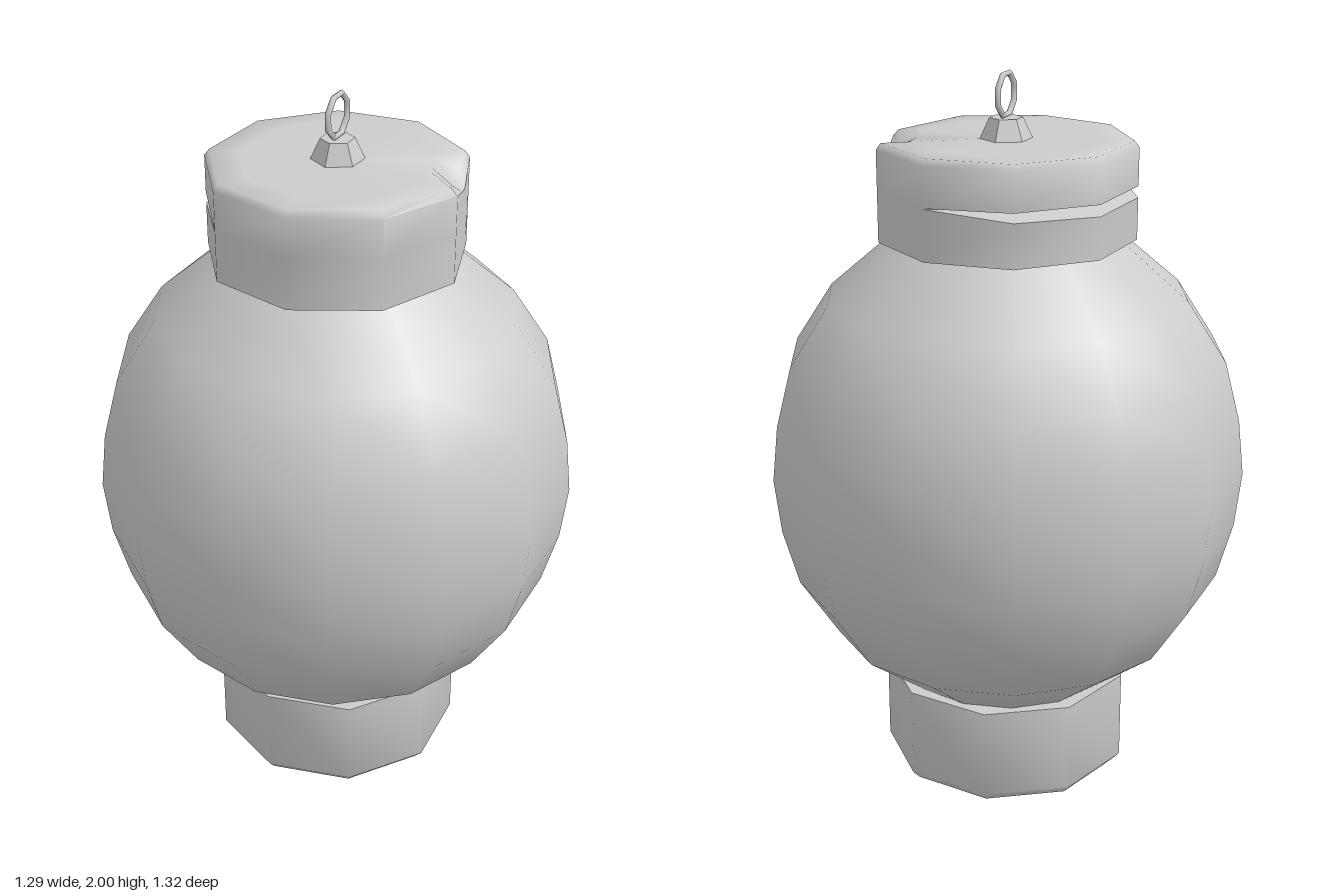
import * as THREE from 'three';
import { toCreasedNormals } from 'three/addons/utils/BufferGeometryUtils.js';

const material = new THREE.MeshStandardMaterial({ color: 0xcccccc });
const rad = THREE.MathUtils.degToRad;

function add(group, name, geometry) {
  const mesh = new THREE.Mesh(geometry, material);
  mesh.name = name;
  group.add(mesh);
  return mesh;
}

function lathe(profile, sides, phase = 0) {
  const points = profile.map(([r, y]) => new THREE.Vector2(r, y));
  return new THREE.LatheGeometry(points, sides, rad(phase));
}

// Skins equal-length rings from bottom to top and closes both ends.
function loft(rings) {
  const n = rings[0].length;
  const centre = (ring) => new THREE.Vector3(0, Math.max(...ring.map((p) => p.y)), 0);
  const last = rings[rings.length - 1];
  const points = [...rings.flat(), centre(rings[0]), centre(last)];
  const index = [];
  const end = rings.length * n;
  for (let i = 0; i < n; i++) {
    const j = (i + 1) % n;
    for (let k = 0; k < rings.length - 1; k++) {
      const a = k * n + i, b = k * n + j;
      index.push(a, b, b + n, a, b + n, a + n);
    }
    index.push(end, j, i, end + 1, end - n + i, end - n + j);
  }
  const geometry = new THREE.BufferGeometry().setFromPoints(points);
  geometry.setIndex(index);
  return geometry;
}

// Nine-sided cap with a split on one side and a chip in the upper edge.
function capGeometry() {
  const split = [0, 0, 0, 0, 0, 0.8, 1, 1, 0]; // opening at each corner
  const chips = [[0.35, 0.033], [0.52, 0.046], [0.65, 0.05], [0.8, 0.026]];
  const outline = [];
  const corner = (k) => new THREE.Vector2(Math.sin(rad(6 + 40 * k)), Math.cos(rad(6 + 40 * k)));
  for (let k = 0; k < 9; k++) {
    outline.push({ p: corner(k), open: split[k], drop: k === 2 ? 0.008 : 0 });
    if (k === 2) {
      for (const [t, drop] of chips) {
        outline.push({ p: corner(2).lerp(corner(3), t), open: 0, drop });
      }
    }
  }
  const ring = (rule) => outline.map((o) => {
    const [r, y] = rule(o);
    return new THREE.Vector3(o.p.x * r, y, o.p.y * r);
  });
  const geometry = loft([
    ring(() => [0.35, 1.56]),
    ring((o) => [0.35, 1.698 - 0.024 * o.open]),
    ring((o) => [0.35 - 0.09 * o.open, 1.7 - 0.004 * o.open]),
    ring((o) => [0.35, 1.702 + 0.003 * o.open]),
    ring((o) => [0.35, 1.808 - o.drop]),
    ring((o) => [0.337 - 0.5 * o.drop, 1.825 - o.drop]),
    ring((o) => [0.26, 1.825 - 0.1 * o.drop]),
  ]);
  return toCreasedNormals(geometry, rad(55));
}

export function createModel() {
  const group = new THREE.Group();
  group.name = 'lantern';

  // Round body
  add(group, 'globe', lathe([
    [0.24, 0.23], [0.31, 0.285], [0.495, 0.43], [0.602, 0.6], [0.645, 0.76], [0.662, 0.915],
    [0.645, 1.07], [0.602, 1.235], [0.495, 1.4], [0.31, 1.56], [0.24, 1.61],
  ], 14));

  // Foot with a bevelled lower edge
  add(group, 'base', toCreasedNormals(lathe([
    [0, 0], [0.33, 0], [0.352, 0.025], [0.352, 0.285], [0, 0.285],
  ], 9, 33), rad(43)));

  add(group, 'cap', capGeometry());

  // Hexagonal knob and hanging ring
  add(group, 'knob', toCreasedNormals(lathe([
    [0.073, 1.82], [0.045, 1.88], [0, 1.88],
  ], 6), rad(30))).position.z = -0.006;

  const ring = add(group, 'hangingRing', new THREE.TorusGeometry(0.057, 0.008, 6, 8));
  ring.rotation.set(0, Math.PI / 2, 0);
  ring.geometry.rotateZ(Math.PI / 8);
  ring.position.set(0, 1.94, -0.006);

  return group;
}
